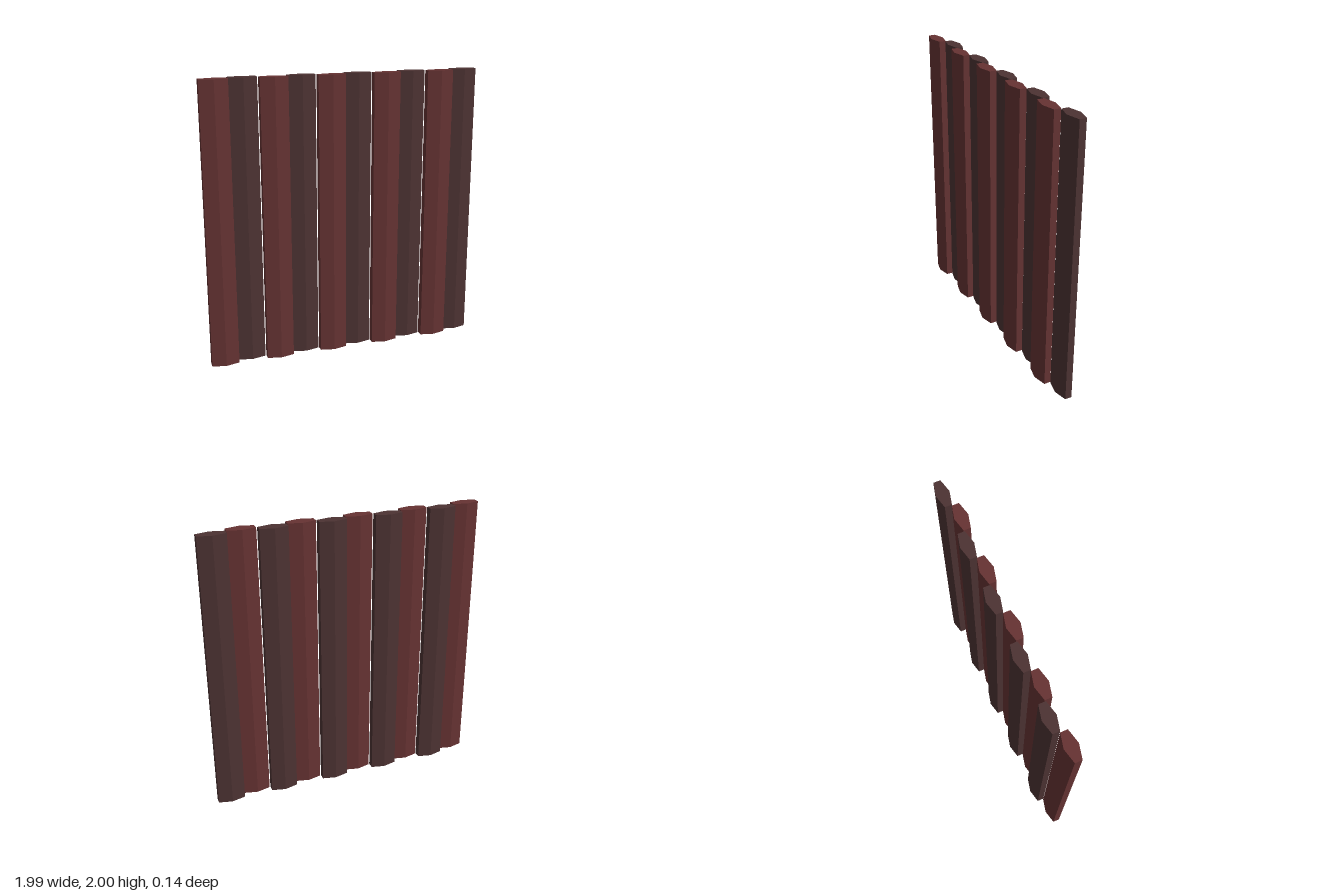
import * as THREE from 'three';

const COUNT = 10, PITCH = 0.2, HEIGHT = 2;
const HALF_WIDTH = 0.0965; // half width of a slat
const HALF_DEPTH = 0.047;  // half depth at the central ridge
const HALF_EDGE = 0.024;   // half depth at the narrow sides
const STAGGER = 0.022;     // slats alternate forward and back

export function createModel() {
  const group = new THREE.Group();
  group.name = 'slatPanel';

  const redWood = new THREE.MeshStandardMaterial({ color: 0x663333 });
  redWood.name = 'redWood';
  const brownWood = new THREE.MeshStandardMaterial({ color: 0x4d3333 });
  brownWood.name = 'brownWood';

  // Flattened hexagonal cross-section, extruded upright
  const section = new THREE.Shape([
    new THREE.Vector2(-HALF_WIDTH, -HALF_EDGE),
    new THREE.Vector2(0, -HALF_DEPTH),
    new THREE.Vector2(HALF_WIDTH, -HALF_EDGE),
    new THREE.Vector2(HALF_WIDTH, HALF_EDGE),
    new THREE.Vector2(0, HALF_DEPTH),
    new THREE.Vector2(-HALF_WIDTH, HALF_EDGE),
  ]);
  const slatGeometry = new THREE.ExtrudeGeometry(section, { depth: HEIGHT, bevelEnabled: false });
  slatGeometry.rotateX(-Math.PI / 2);

  // Alternating front (red) and back (brown) slats
  for (let i = 0; i < COUNT; i++) {
    const front = i % 2 === 0;
    const slat = new THREE.Mesh(slatGeometry, front ? redWood : brownWood);
    slat.name = `${front ? 'front' : 'back'}Slat${Math.floor(i / 2) + 1}`;
    slat.position.set((i - (COUNT - 1) / 2) * PITCH, 0, front ? STAGGER : -STAGGER);
    group.add(slat);
  }
  return group;
}
